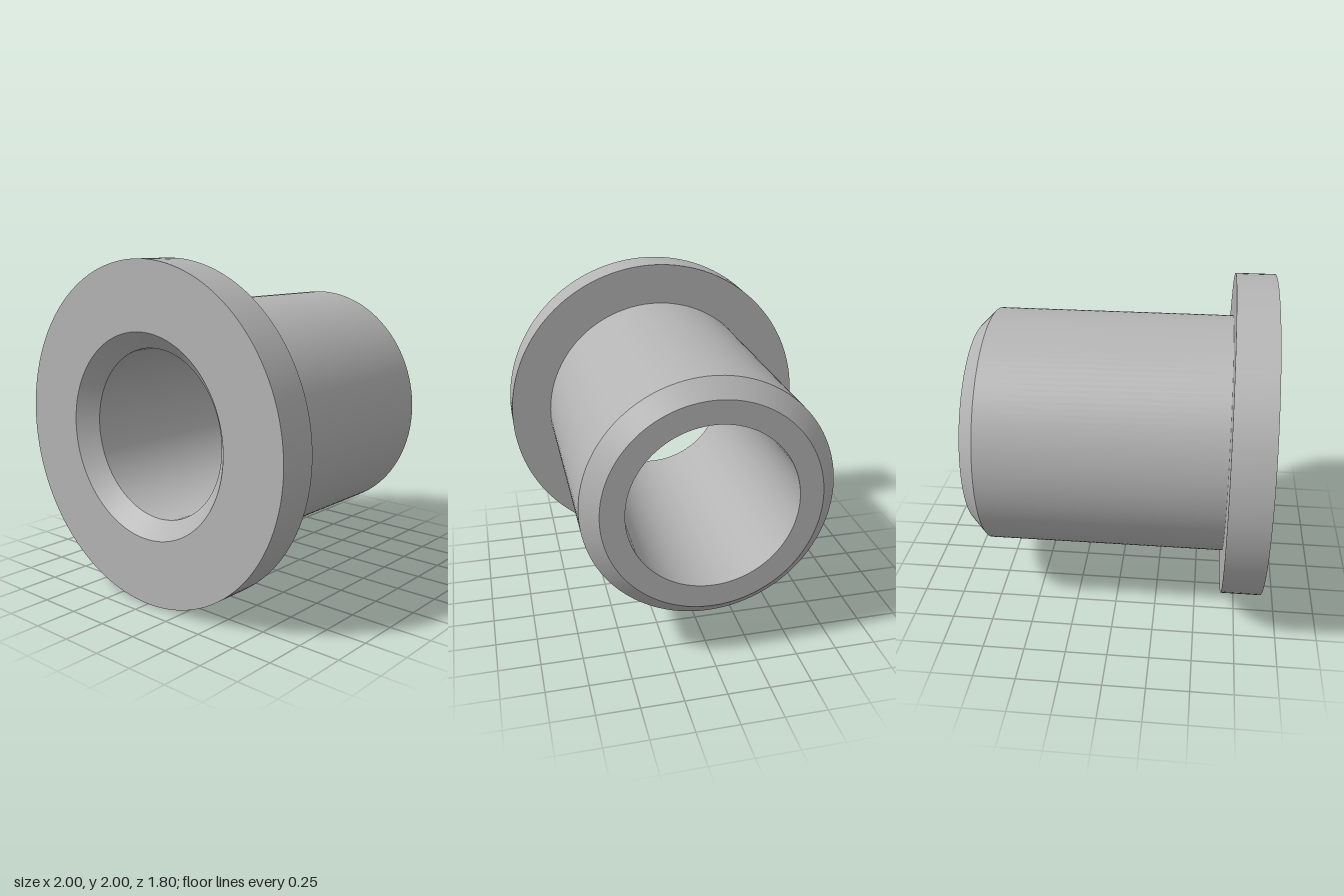
import * as THREE from 'three';
import { toCreasedNormals } from 'three/addons/utils/BufferGeometryUtils.js';

export function createModel() {
  const group = new THREE.Group();
  group.name = 'flangedBushing';

  const steel = new THREE.MeshStandardMaterial({ color: 0xb4b4b4 });
  steel.name = 'grey metal';

  // Closed cross-section (radius, position along the axis), back to front
  const profile = [
    [0.5, -0.9],   // rear rim of the bore
    [0.64, -0.9],  // rear chamfer
    [0.74, -0.8],
    [0.74, 0.66],  // sleeve meets flange
    [1, 0.66],
    [1, 0.9],      // flange rim
    [0.6, 0.9],    // front chamfer of the bore
    [0.5, 0.8],
    [0.5, -0.9],
  ].map(([r, a]) => new THREE.Vector2(r, a));

  // Turn the section and lay its axis along z, keeping the edges crisp
  const turned = new THREE.LatheGeometry(profile, 128).rotateX(Math.PI / 2);
  const bushing = new THREE.Mesh(toCreasedNormals(turned, Math.PI / 6), steel);
  bushing.name = 'flangedSleeve';
  bushing.position.y = 1;
  group.add(bushing);

  return group;
}
